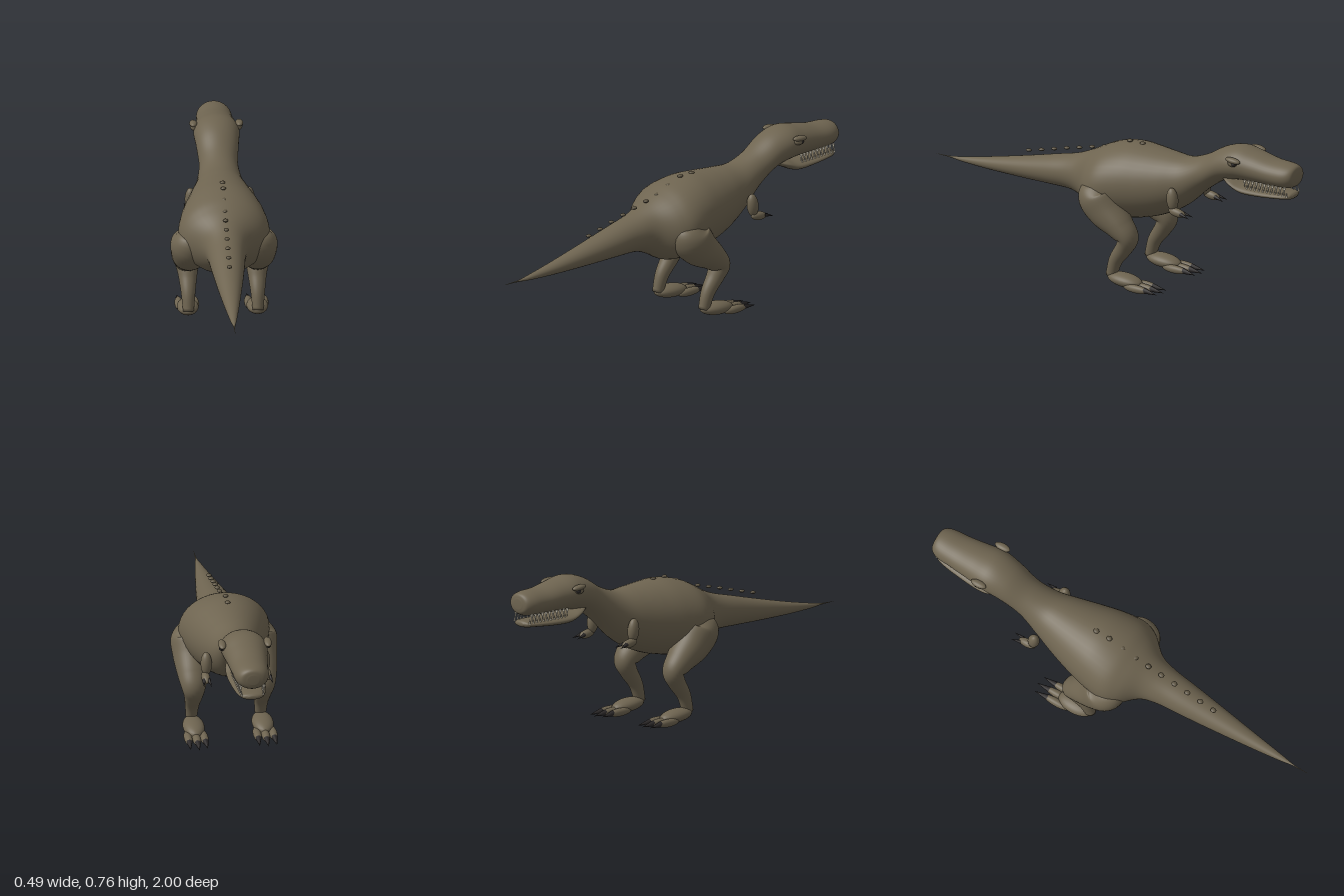
import * as THREE from 'three';

const mat = (name, color) => {
  const m = new THREE.MeshStandardMaterial({ color });
  m.name = name;
  return m;
};

export function createModel() {
  const model = new THREE.Group();
  model.name = 'dinosaur';
  const skin = mat('skin', 0x6e6450);
  const bumpSkin = mat('bumpSkin', 0x5e5543);
  const horn = mat('darkHorn', 0x2a2727);
  const ivory = mat('ivory', 0xe8e0cc);

  const add = (name, geo, material, parent = model) => {
    const mesh = new THREE.Mesh(geo, material);
    mesh.name = name;
    parent.add(mesh);
    return mesh;
  };

  // Smooth skin through elliptical sections [x, y, z, halfWidth, halfDepth];
  // upright rings stay vertical, the others follow the path.
  const loft = (sections, upright, steps = 6, sides = 40) => {
    const path = new THREE.CatmullRomCurve3(sections.map(s => new THREE.Vector3(s[0], s[1], s[2])), false, 'catmullrom', 0.5);
    const size = new THREE.CatmullRomCurve3(sections.map(s => new THREE.Vector3(s[3], s[4], 0)), false, 'catmullrom', 0.5);
    const rings = (sections.length - 1) * steps;
    const pos = [], idx = [], X = new THREE.Vector3(1, 0, 0);
    for (let i = 0; i <= rings; i++) {
      const c = path.getPoint(i / rings), r = size.getPoint(i / rings);
      const t = upright ? new THREE.Vector3(0, 0, 1) : path.getTangent(i / rings);
      const n = t.cross(X).normalize();
      for (let j = 0; j < sides; j++) {
        const a = j / sides * Math.PI * 2;
        const p = c.clone().addScaledVector(X, Math.cos(a) * r.x).addScaledVector(n, Math.sin(a) * r.y);
        pos.push(p.x, p.y, p.z);
      }
    }
    for (let i = 0; i < rings; i++) for (let j = 0; j < sides; j++) {
      const a = i * sides + j, b = i * sides + (j + 1) % sides;
      idx.push(a, b, a + sides, b, b + sides, a + sides);
    }
    // End caps
    const first = pos.length / 3, last = first + 1, end = rings * sides;
    pos.push(...path.getPoint(0).toArray(), ...path.getPoint(1).toArray());
    for (let j = 0; j < sides; j++) {
      const k = (j + 1) % sides;
      idx.push(first, k, j, last, end + j, end + k);
    }
    const g = new THREE.BufferGeometry();
    g.setAttribute('position', new THREE.Float32BufferAttribute(pos, 3));
    g.setIndex(idx);
    g.computeVertexNormals();
    return g;
  };
  // Section given by z, bottom, top and half width
  const upright = rows => loft(rows.map(([z, lo, hi, w]) => [0, (lo + hi) / 2, z, w, (hi - lo) / 2]), true);

  const ellipsoid = (name, p, r, material, parent, tilt = 0) => {
    const m = add(name, new THREE.SphereGeometry(1, 24, 16), material, parent);
    m.position.set(...p);
    m.scale.set(...r);
    m.rotation.x = tilt;
    return m;
  };
  // Cone from a base point to a tip
  const spike = (name, base, tip, radius, material, parent, sides = 10) => {
    const a = new THREE.Vector3(...base), d = new THREE.Vector3(...tip).sub(a);
    const m = add(name, new THREE.ConeGeometry(radius, d.length(), sides), material, parent);
    m.position.copy(a).addScaledVector(d, 0.5);
    m.quaternion.setFromUnitVectors(new THREE.Vector3(0, 1, 0), d.normalize());
    return m;
  };

  // Head, neck, trunk and tail in one skin
  add('body', upright([
    [-1.0, 0.645, 0.69, 0.025], [-0.99, 0.622, 0.715, 0.058], [-0.95, 0.608, 0.725, 0.078],
    [-0.87, 0.606, 0.73, 0.085], [-0.78, 0.605, 0.748, 0.095], [-0.69, 0.6, 0.762, 0.106],
    [-0.6, 0.575, 0.738, 0.098], [-0.5, 0.505, 0.68, 0.09], [-0.4, 0.415, 0.645, 0.11],
    [-0.3, 0.355, 0.647, 0.142], [-0.2, 0.318, 0.654, 0.172], [-0.1, 0.298, 0.657, 0.197],
    [0, 0.287, 0.638, 0.21], [0.07, 0.292, 0.608, 0.185], [0.15, 0.335, 0.567, 0.115],
    [0.23, 0.362, 0.535, 0.09], [0.35, 0.364, 0.505, 0.077], [0.5, 0.362, 0.468, 0.06],
    [0.7, 0.362, 0.422, 0.035], [0.85, 0.367, 0.392, 0.015], [0.92, 0.373, 0.381, 0.004],
    [1.0, 0.3765, 0.3775, 0.0005],
  ]), skin);

  // Lower jaw
  add('lowerJaw', upright([
    [-0.985, 0.566, 0.58, 0.02], [-0.97, 0.557, 0.589, 0.05], [-0.92, 0.553, 0.589, 0.068],
    [-0.82, 0.545, 0.588, 0.08], [-0.73, 0.545, 0.594, 0.087], [-0.67, 0.57, 0.612, 0.085],
    [-0.62, 0.592, 0.625, 0.06],
  ]), skin);

  // Ridge of small bumps along the back and tail
  const ridge = [[-0.14, 0.658], [-0.07, 0.658], [0, 0.632], [0.07, 0.602], [0.14, 0.584],
    [0.21, 0.567], [0.28, 0.55], [0.35, 0.532], [0.42, 0.514], [0.49, 0.497]];
  for (const [z, y] of ridge) ellipsoid('backBump', [0, y, z], [0.012, 0.007, 0.014], bumpSkin);

  for (const s of [-1, 1]) {
    const side = s > 0 ? 'left' : 'right';
    const group = name => {
      const g = new THREE.Group();
      g.name = side + name;
      model.add(g);
      return g;
    };

    // Eye under a heavy brow
    const eye = group('Eye');
    ellipsoid('brow', [s * 0.106, 0.72, -0.71], [0.018, 0.013, 0.04], skin, eye, -0.1);
    ellipsoid('socket', [s * 0.1, 0.706, -0.705], [0.02, 0.018, 0.024], skin, eye);
    ellipsoid('eyeball', [s * 0.109, 0.705, -0.717], [0.012, 0.011, 0.013], horn, eye);

    // Teeth of both jaws
    const teeth = group('Teeth');
    for (let i = 0; i < 11; i++) {
      const z = -0.75 - i * 0.021, x = s * (0.068 - i * 0.0014);
      spike('upperTooth', [x, 0.622, z], [x, 0.586, z], 0.007, ivory, teeth, 6);
      spike('lowerTooth', [x * 0.94, 0.578, z - 0.01], [x * 0.94, 0.605, z - 0.01], 0.005, ivory, teeth, 6);
    }

    // Leg: thigh, knee and shin
    const leg = group('Leg');
    add('legSkin', loft([
      [s * 0.14, 0.492, 0.01, 0.012, 0.015], [s * 0.145, 0.475, 0.012, 0.06, 0.06],
      [s * 0.15, 0.425, 0.005, 0.094, 0.096], [s * 0.155, 0.36, -0.045, 0.087, 0.09],
      [s * 0.16, 0.3, -0.12, 0.071, 0.066], [s * 0.162, 0.25, -0.166, 0.056, 0.049],
      [s * 0.16, 0.2, -0.147, 0.044, 0.041], [s * 0.16, 0.13, -0.1, 0.033, 0.033],
      [s * 0.16, 0.05, -0.074, 0.025, 0.027],
    ], false), skin, leg);

    // Foot with three clawed toes
    ellipsoid('foot', [s * 0.16, 0.042, -0.15], [0.05, 0.031, 0.092], skin, leg, -0.08);
    for (const k of [-1, 0, 1]) {
      const x = s * 0.16 + k * 0.037, far = k === 0 ? -0.012 : 0;
      ellipsoid('toe', [x, 0.024, -0.235 + far], [0.019, 0.019, 0.068], skin, leg);
      spike('toeClaw', [x, 0.025, -0.28 + far], [x + k * 0.003, 0.018, -0.352 + far], 0.014, horn, leg);
    }

    // Small arm with two claws
    const arm = group('Arm');
    ellipsoid('upperArm', [s * 0.135, 0.475, -0.395], [0.026, 0.056, 0.028], skin, arm, 0.1);
    ellipsoid('forearm', [s * 0.142, 0.42, -0.425], [0.02, 0.02, 0.045], skin, arm, -0.15);
    for (const k of [-1, 1]) {
      const x = s * 0.142 + k * 0.011;
      spike('fingerClaw', [x, 0.42, -0.452], [x + k * 0.007, 0.407, -0.503], 0.009, horn, arm);
    }
  }
  return model;
}
